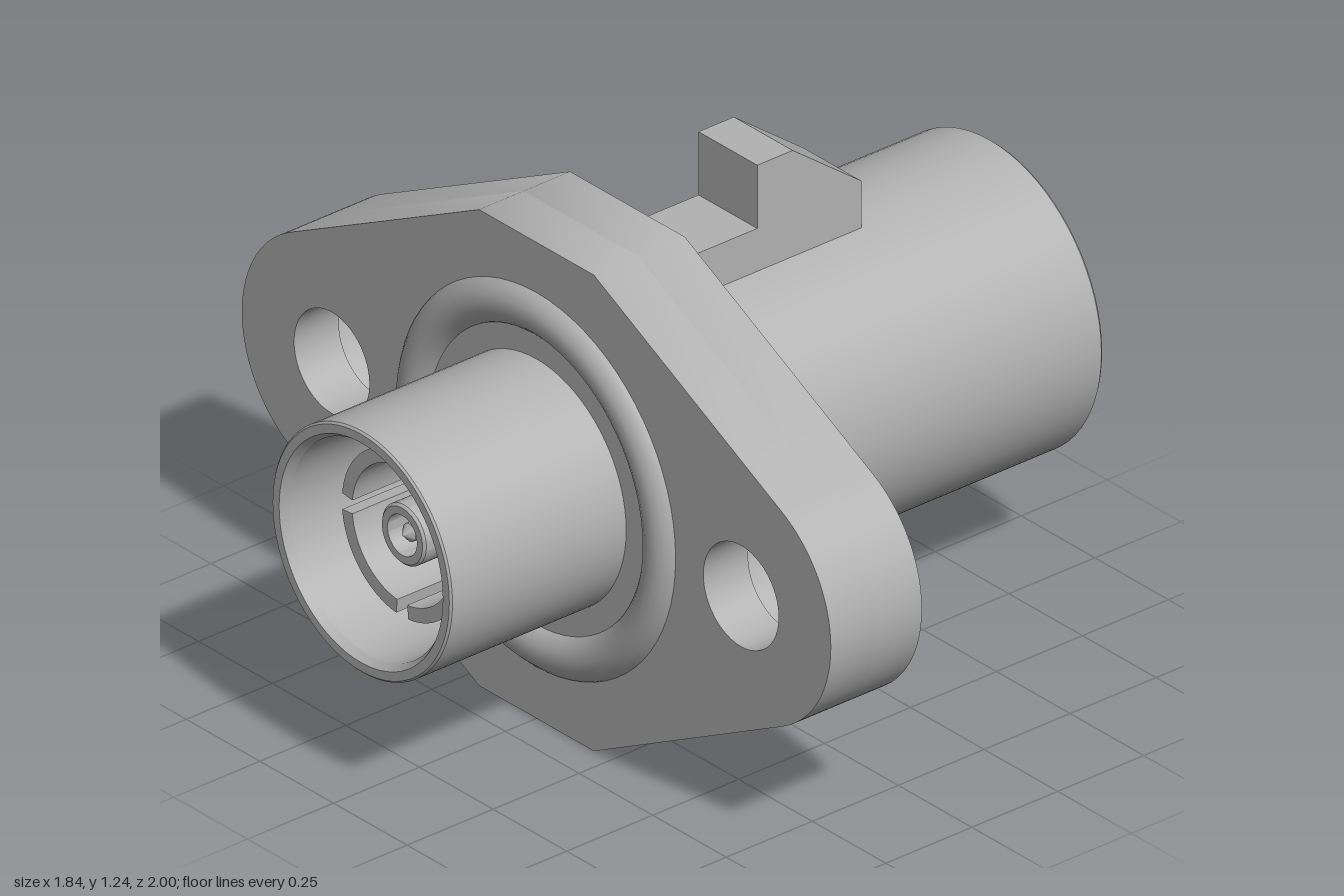
import * as THREE from 'three';
import { toCreasedNormals } from 'three/addons/utils/BufferGeometryUtils.js';

const AXIS_Y = 0.605; // height of the connector's axis, which runs along x

export function createModel() {
  const group = new THREE.Group();
  group.name = 'flangedConnector';
  const metal = new THREE.MeshStandardMaterial({ color: 0xb2b2b2 });
  metal.name = 'grey metal';

  const add = (name, geometry, y = AXIS_Y) => {
    const mesh = new THREE.Mesh(toCreasedNormals(geometry, 0.5), metal);
    mesh.name = name;
    mesh.position.y = y;
    group.add(mesh);
    return mesh;
  };

  // Revolve [radius, x] pairs around the x axis
  const turn = (name, profile, segments = 64) =>
    add(name, new THREE.LatheGeometry(profile.map(([r, x]) => new THREE.Vector2(r, x)), segments)
      .rotateZ(-Math.PI / 2));

  // Extrude a cross-section from x0 to x1
  const slab = (name, shape, x0, x1) =>
    add(name, new THREE.ExtrudeGeometry(shape, { depth: x1 - x0, bevelEnabled: false, curveSegments: 24 })
      .rotateY(Math.PI / 2).translate(x0, 0, 0));

  // Open tube with slightly softened rims
  const tube = (name, inner, outer, x0, x1) => turn(name, [
    [inner, x1], [inner, x0], [outer - 0.006, x0], [outer, x0 + 0.006],
    [outer, x1 - 0.006], [outer - 0.006, x1], [inner, x1],
  ]);

  // Flange: six straight edges and two round ends, with bolt holes
  const flangeShape = (holeRadius) => {
    const s = new THREE.Shape();
    const end = 0.695, r = 0.305, a = 1.10;
    s.moveTo(-0.195, -0.605);
    s.lineTo(0.195, -0.605);
    s.absarc(end, 0, r, -a, a, false);
    s.lineTo(0.195, 0.6);
    s.lineTo(-0.195, 0.6);
    s.absarc(-end, 0, r, Math.PI - a, Math.PI + a, false);
    s.closePath();
    for (const side of [-1, 1]) {
      const hole = new THREE.Path();
      hole.absarc(side * end, 0, holeRadius, 0, Math.PI * 2, true);
      s.holes.push(hole);
    }
    return s;
  };
  slab('flangeBack', flangeShape(0.128), -0.41, -0.28);
  slab('flangeFront', flangeShape(0.222), -0.28, -0.145);

  // Thin rings inside the counterbores
  for (const side of [-1, 1]) {
    const ring = tube('counterboreRing', 0.212, 0.224, -0.28, -0.155);
    ring.position.z = side * 0.695;
  }

  // Sealing ring on the back of the flange
  add('sealRing', new THREE.TorusGeometry(0.42, 0.062, 20, 72)
    .rotateY(Math.PI / 2).translate(-0.379, 0, 0));

  // Main body: narrow socket at the back, wide barrel at the front
  turn('body', [
    [0, -0.58], [0.255, -0.58], [0.265, -0.9], [0.278, -0.92], [0.3, -0.92], [0.305, -0.915],
    [0.305, -0.3], [0.38, -0.3], [0.38, 0.908], [0.374, 0.915], [0.358, 0.915],
    [0.342, 0.85], [0.32, 0], [0.275, -0.08], [0, -0.08],
  ], 72);

  // Front contact: shield tube, insulator and pin
  tube('frontShield', 0.165, 0.19, -0.09, 0.7);
  turn('frontInsulator', [
    [0.166, 0], [0.166, 0.6], [0.11, 0.6], [0.11, 0.52], [0, 0.52],
  ]);
  tube('frontContactSleeve', 0.03, 0.045, 0.5, 0.64);
  turn('frontPin', [[0.02, 0.5], [0.02, 0.61], [0, 0.63]], 20);

  // Back contact: four spring fingers around a sleeve and pin
  for (let i = 0; i < 4; i++) {
    const start = i * Math.PI / 2 + 0.1, stop = (i + 1) * Math.PI / 2 - 0.1;
    const finger = new THREE.Shape();
    finger.absarc(0, 0, 0.205, start, stop, false);
    finger.absarc(0, 0, 0.17, stop, start, true);
    finger.closePath();
    slab('springFinger', finger, -0.8, -0.57);
  }
  tube('backContactSleeve', 0.05, 0.075, -0.8, -0.57);
  turn('backPin', [[0, -0.8], [0.022, -0.78], [0.022, -0.57]], 20);

  // Latch: low rail with a ramped hook
  const latch = new THREE.Shape([
    [-0.15, 0.955], [0.45, 0.955], [0.45, 1.09], [0.25, 1.24],
    [0.147, 1.24], [0.147, 1.08], [-0.15, 1.08],
  ].map(([x, y]) => new THREE.Vector2(x, y)));
  add('latch', new THREE.ExtrudeGeometry(latch, { depth: 0.2, bevelEnabled: false })
    .translate(0, 0, -0.1), 0);

  return group;
}
